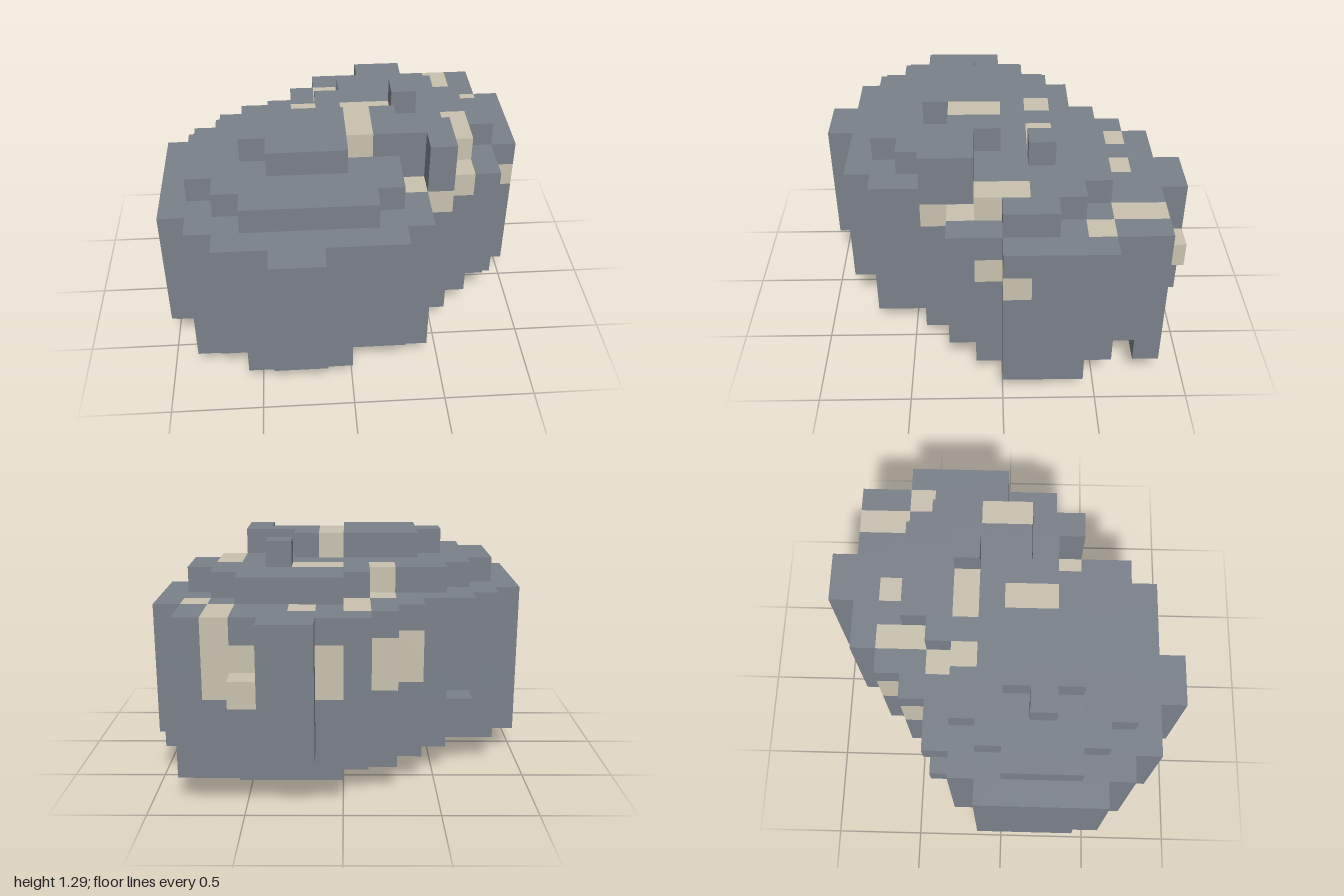
import * as THREE from 'three';

const U = 1 / 7; // edge of one block
const stone = new THREE.MeshStandardMaterial({ color: 0x7b818a });
stone.name = 'grey stone';
const sand = new THREE.MeshStandardMaterial({ color: 0xc9c2b0 });
sand.name = 'pale sand';

// Each slab: height levels, first row, then [from, to] columns for every row going to the front
const SLABS = {
  base: { levels: [0, 0], row: 3, spans: [[7, 10], [6, 11], [5, 11], [4, 11], [3, 9], [3, 8], [3, 7], [3, 6]] },
  foot: {
    levels: [1, 1], row: 1,
    spans: [[7, 12], [5, 11], [4, 12], [3, 13], [1, 13], [0, 13], [0, 12], [0, 11], [0, 10], [1, 9], [1, 9], [3, 6]],
  },
  body: {
    levels: [2, 6], row: 0,
    spans: [[8, 9], [6, 12], [5, 12], [4, 13], [2, 13], [1, 13], [0, 13], [0, 12], [0, 12], [0, 10], [0, 9], [1, 9], [2, 8], [4, 5]],
  },
  shoulder: {
    levels: [7, 7], row: 3,
    spans: [[7, 10], [6, 11], [3, 12], [2, 12], [1, 11], [1, 10], [1, 8], [2, 8], [3, 7]],
  },
  crown: { levels: [8, 8], row: 7, spans: [[4, 8], [3, 10], [4, 6]] },
};

// Sand blocks as [column, row, lowest level, highest level]
const SAND = [
  [10, 0, 4, 4], [11, 1, 4, 6], [10, 1, 4, 5], [11, 2, 6, 6], [12, 3, 6, 6], // back corner
  [6, 2, 6, 6], [6, 3, 6, 6], [8, 2, 6, 6], [5, 4, 6, 6], [5, 5, 7, 7], [7, 5, 7, 7], [8, 5, 7, 7], // top
  [7, 7, 8, 8], [7, 8, 8, 8], [11, 6, 7, 7], [11, 7, 7, 7], [11, 8, 6, 6], [9, 9, 6, 6], [10, 9, 6, 6],
  [13, 6, 5, 5], [12, 7, 5, 5], [7, 1, 4, 5], [5, 2, 4, 5], [4, 3, 4, 5], // walls
];

const key = (x, y, z) => `${x},${y},${z}`;

function fillBlocks() {
  const blocks = new Map();
  for (const [part, { levels, row, spans }] of Object.entries(SLABS)) {
    spans.forEach(([from, to], r) => {
      for (let y = levels[0]; y <= levels[1]; y++)
        for (let x = from; x <= to; x++) blocks.set(key(x, y, row + r), { part, p: [x, y, row + r] });
    });
  }
  const add = (part, x, y, z) => blocks.set(key(x, y, z), { part, p: [x, y, z] });
  add('knob', 9, 8, 5); // single block on top
  add('backNub', 10, 4, 0); // single block on the back wall
  add('sidePost', 10, 7, 9);
  add('sidePost', 10, 8, 9);
  for (let y = 3; y <= 5; y++) blocks.delete(key(2, y, 4)); // slot in the wall
  for (const [x, z, low, high] of SAND)
    for (let y = low; y <= high; y++) {
      const block = blocks.get(key(x, y, z));
      if (block) block.sandy = true;
    }
  return blocks;
}

// Outer faces of a list of blocks, leaving out those that touch a neighbour
function skin(list, blocks) {
  const pos = [], nor = [], idx = [];
  for (const { p } of list)
    for (let axis = 0; axis < 3; axis++)
      for (const side of [-1, 1]) {
        const n = [0, 0, 0];
        n[axis] = side;
        if (blocks.has(key(p[0] + n[0], p[1] + n[1], p[2] + n[2]))) continue;
        const start = pos.length / 3;
        for (const [s, t] of [[0, 0], [1, 0], [1, 1], [0, 1]]) {
          const c = [...p];
          if (side > 0) c[axis] += 1;
          c[(axis + 1) % 3] += s;
          c[(axis + 2) % 3] += t;
          pos.push((c[0] - 7) * U, c[1] * U, (c[2] - 7) * U);
          nor.push(...n);
        }
        const order = side > 0 ? [0, 1, 2, 0, 2, 3] : [0, 2, 1, 0, 3, 2];
        idx.push(...order.map((o) => start + o));
      }
  const geometry = new THREE.BufferGeometry();
  geometry.setAttribute('position', new THREE.Float32BufferAttribute(pos, 3));
  geometry.setAttribute('normal', new THREE.Float32BufferAttribute(nor, 3));
  geometry.setIndex(idx);
  return geometry;
}

export function createModel() {
  const model = new THREE.Group();
  model.name = 'boulder';
  const blocks = fillBlocks();
  const all = [...blocks.values()];
  for (const part of new Set(all.map((b) => b.part)))
    for (const sandy of [false, true]) {
      const list = all.filter((b) => b.part === part && !!b.sandy === sandy);
      if (!list.length) continue;
      const mesh = new THREE.Mesh(skin(list, blocks), sandy ? sand : stone);
      mesh.name = sandy ? `${part}SandPatches` : part;
      model.add(mesh);
    }
  return model;
}
